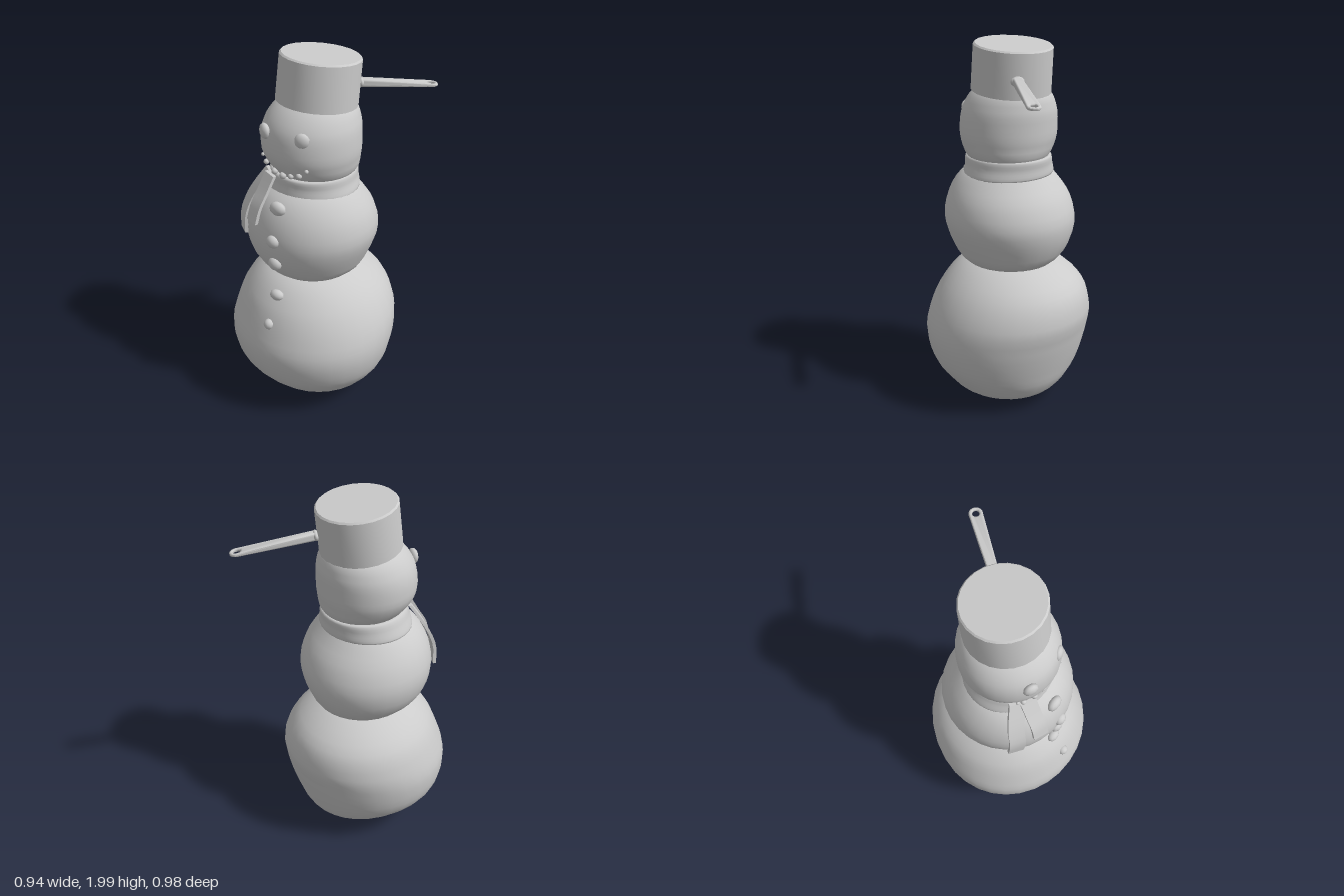
import * as THREE from 'three';
import { toCreasedNormals } from 'three/addons/utils/BufferGeometryUtils.js';
import { ParametricGeometry } from 'three/addons/geometries/ParametricGeometry.js';

const material = new THREE.MeshStandardMaterial({ color: 0xcccccc });

function mesh(name, geometry, parent) {
  const m = new THREE.Mesh(geometry, material);
  m.name = name;
  parent.add(m);
  return m;
}

// Smooth skin through rows of [y, xMin, xMax, zFront, zBack], bottom to top
function loft(rows, stacks = 24, slices = 32) {
  const low = new THREE.CatmullRomCurve3(
    rows.map(([y, x0, , , z0]) => new THREE.Vector3(x0, y, z0)), false, 'catmullrom');
  const high = new THREE.CatmullRomCurve3(
    rows.map(([y, , x1, z1]) => new THREE.Vector3(x1, y, z1)), false, 'catmullrom');
  const a = new THREE.Vector3(), b = new THREE.Vector3();
  return new ParametricGeometry((u, v, target) => {
    low.getPoint(v, a);
    high.getPoint(v, b);
    const angle = u * Math.PI * 2;
    target.set(
      (a.x + b.x) / 2 + Math.cos(angle) * (b.x - a.x) / 2,
      a.y,
      (a.z + b.z) / 2 - Math.sin(angle) * (b.z - a.z) / 2);
  }, slices, stacks);
}

// Rounded lump pressed into the snow, turned to face outward
function lump(name, [x, y, z], [rx, ry, rz], parent) {
  const m = mesh(name, new THREE.SphereGeometry(1, 10, 8), parent);
  m.position.set(x, y, z);
  m.scale.set(rx, ry, rz);
  m.rotation.y = Math.atan2(x + 0.015, z);
  return m;
}

// Cloth strip following a line of points, widened along a side direction
function scarfTail(name, points, side, width, parent) {
  const curve = new THREE.CatmullRomCurve3(points.map(p => new THREE.Vector3(...p)));
  const across = new THREE.Vector3(...side).normalize();
  const outward = across.clone().cross(new THREE.Vector3(0, 1, 0));
  const geometry = new THREE.BoxGeometry(width, 1, 0.018, 2, 10, 1);
  const pos = geometry.attributes.position;
  for (let i = 0; i < pos.count; i++) {
    const p = curve.getPoint(0.5 - pos.getY(i))
      .addScaledVector(across, pos.getX(i))
      .addScaledVector(outward, pos.getZ(i));
    pos.setXYZ(i, p.x, p.y, p.z);
  }
  geometry.computeVertexNormals();
  mesh(name, geometry, parent);
}

function handleGeometry() {
  const length = 0.4;
  const shape = new THREE.Shape();
  shape.moveTo(0, -0.016);
  shape.lineTo(length - 0.03, -0.026);
  shape.absarc(length - 0.01, 0, 0.027, -Math.PI / 2, Math.PI / 2, false);
  shape.lineTo(0, 0.016);
  shape.closePath();
  const hole = new THREE.Path();
  hole.absellipse(length - 0.012, 0, 0.029, 0.026, 0, Math.PI * 2, true);
  shape.holes.push(hole);
  const geometry = new THREE.ExtrudeGeometry(shape, {
    depth: 0.4, bevelThickness: 0.3, bevelSize: 0.008, bevelSegments: 2, curveSegments: 8,
  });
  geometry.translate(0, 0, -0.2);
  // Thick at the pan, thin at the tip
  const pos = geometry.attributes.position;
  for (let i = 0; i < pos.count; i++) {
    const t = THREE.MathUtils.clamp(pos.getX(i) / length, 0, 1);
    pos.setZ(i, pos.getZ(i) * THREE.MathUtils.lerp(0.042, 0.016, t));
  }
  geometry.rotateX(-Math.PI / 2);
  return toCreasedNormals(geometry, 0.9);
}

export function createModel() {
  const model = new THREE.Group();
  model.name = 'snowman';

  // Three uneven snowballs
  mesh('bottomSnowball', loft([
    [0.005, 0.014, 0.016, 0.021, 0.019],
    [0.03, -0.13, 0.17, 0.15, -0.15],
    [0.08, -0.23, 0.30, 0.28, -0.27],
    [0.15, -0.34, 0.37, 0.37, -0.33],
    [0.26, -0.44, 0.435, 0.45, -0.37],
    [0.41, -0.47, 0.465, 0.483, -0.41],
    [0.55, -0.445, 0.445, 0.452, -0.435],
    [0.69, -0.385, 0.37, 0.39, -0.395],
    [0.80, -0.27, 0.25, 0.29, -0.26],
    [0.85, -0.13, 0.12, 0.15, -0.11],
    [0.86, -0.001, 0.001, 0.021, 0.019],
  ], 30), model);
  mesh('middleSnowball', loft([
    [0.76, -0.016, -0.014, 0.021, 0.019],
    [0.77, -0.13, 0.12, 0.15, -0.11],
    [0.82, -0.25, 0.24, 0.27, -0.24],
    [0.92, -0.34, 0.30, 0.345, -0.305],
    [1.05, -0.373, 0.343, 0.376, -0.33],
    [1.17, -0.35, 0.325, 0.36, -0.295],
    [1.27, -0.29, 0.27, 0.31, -0.225],
    [1.33, -0.21, 0.21, 0.235, -0.17],
    [1.37, -0.1, 0.1, 0.12, -0.08],
    [1.38, -0.001, 0.001, 0.021, 0.019],
  ]), model);
  mesh('head', loft([
    [1.32, -0.013, -0.011, 0.031, 0.029],
    [1.335, -0.11, 0.10, 0.13, -0.08],
    [1.39, -0.20, 0.215, 0.225, -0.19],
    [1.48, -0.265, 0.245, 0.278, -0.22],
    [1.57, -0.275, 0.248, 0.285, -0.227],
    [1.66, -0.255, 0.235, 0.265, -0.225],
    [1.74, -0.20, 0.195, 0.205, -0.195],
    [1.79, -0.11, 0.11, 0.12, -0.10],
    [1.80, -0.001, 0.001, 0.011, 0.009],
  ]), model);

  // Scarf: neck band and two hanging ends
  const scarf = new THREE.Group();
  scarf.name = 'scarf';
  model.add(scarf);
  mesh('scarfBand', loft([
    [1.315, -0.23, 0.21, 0.235, -0.17],
    [1.30, -0.262, 0.243, 0.26, -0.205],
    [1.35, -0.245, 0.232, 0.255, -0.207],
    [1.40, -0.222, 0.222, 0.25, -0.207],
    [1.395, -0.18, 0.18, 0.20, -0.16],
  ], 16), scarf);
  scarfTail('longScarfTail', [
    [-0.165, 1.39, 0.19], [-0.215, 1.31, 0.22], [-0.25, 1.24, 0.245],
    [-0.275, 1.14, 0.275], [-0.285, 1.03, 0.27],
  ], [0.79, 0, 0.61], 0.085, scarf);
  scarfTail('shortScarfTail', [
    [-0.13, 1.39, 0.23], [-0.145, 1.31, 0.275], [-0.16, 1.23, 0.322], [-0.17, 1.15, 0.345],
  ], [0.92, 0, 0.4], 0.085, scarf);

  // Face
  for (const [name, x] of [['rightEye', -0.145], ['leftEye', 0.08]])
    lump(name, [x, 1.63, 0.248], [0.04, 0.041, 0.024], model);
  const mouth = new THREE.Group();
  mouth.name = 'mouth';
  model.add(mouth);
  [[-0.19, 1.475, 0.01], [-0.16, 1.447, 0.015], [-0.095, 1.42, 0.018], [-0.037, 1.415, 0.019],
    [0.015, 1.427, 0.015], [0.063, 1.44, 0.016], [0.107, 1.475, 0.011]].forEach(([x, y, r]) => {
    const rise = (y - 1.415) * 0.45;
    const z = 0.025 + (0.226 + rise) * Math.sqrt(1 - ((x + 0.01) / 0.262) ** 2);
    lump('mouthPebble', [x, y, z], [r, r, r], mouth);
  });

  // Buttons down the front
  [[1.26, 0.322, 0.048, 0.038], [1.09, 0.37, 0.038, 0.036], [0.95, 0.358, 0.04, 0.038],
    [0.745, 0.35, 0.042, 0.03], [0.6, 0.427, 0.03, 0.03]].forEach(([y, z, rx, ry]) =>
    lump('button', [-0.022, y, z], [rx, ry, 0.029], model));

  // Upturned saucepan worn as a hat, tipped slightly back
  const hat = new THREE.Group();
  hat.name = 'saucepanHat';
  hat.position.set(0, 1.74, 0.002);
  hat.rotation.set(-0.1, 0, -0.04);
  model.add(hat);
  const profile = [[0, 0.222], [0.193, 0.222], [0.199, 0], [0.21, 0], [0.206, 0.232], [0.198, 0.24], [0, 0.24]]
    .map(([r, y]) => new THREE.Vector2(r, y));
  mesh('pan', toCreasedNormals(new THREE.LatheGeometry(profile, 24), 0.6), hat);

  // Long handle with a hanging hole, and its mounting boss
  const handle = new THREE.Group();
  handle.name = 'panHandle';
  handle.position.set(0.15, 1.817, -0.165);
  handle.rotation.set(0, 0.877, -0.13, 'YZX');
  model.add(handle);
  mesh('handleBar', handleGeometry(), handle);
  const boss = mesh('handleBoss', new THREE.SphereGeometry(1, 12, 8), handle);
  boss.scale.set(0.016, 0.026, 0.036);

  return model;
}
